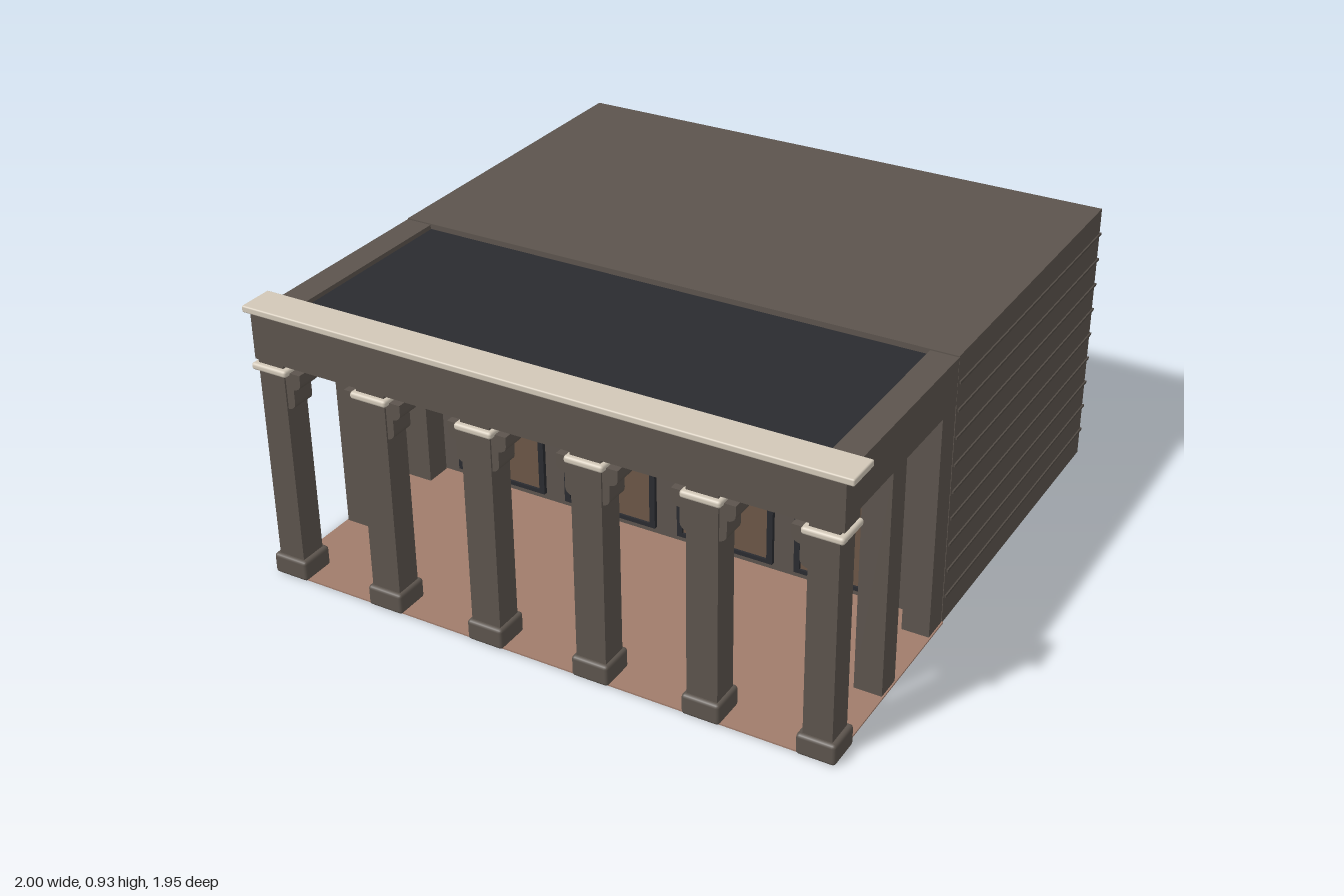
import * as THREE from 'three';
import { RoundedBoxGeometry } from 'three/addons/geometries/RoundedBoxGeometry.js';

const paint = (color) => new THREE.MeshStandardMaterial({ color });

export function createModel() {
  const model = new THREE.Group();
  const stone = paint(0x5c544d), siding = paint(0x514a44), cream = paint(0xd2c8b8);
  const dark = paint(0x2a2b30), wood = paint(0x6b5646), tile = paint(0xa07c6b), green = paint(0x333c37);

  const add = (parent, name, geometry, material, x = 0, y = 0, z = 0) => {
    const mesh = new THREE.Mesh(geometry, material);
    mesh.name = name;
    mesh.position.set(x, y, z);
    parent.add(mesh);
    return mesh;
  };
  // Box given by its limits; a bevel rounds the edges
  const block = (parent, name, material, [x0, x1], [y0, y1], [z0, z1], bevel = 0) => {
    const size = [x1 - x0, y1 - y0, z1 - z0];
    const geometry = bevel ? new RoundedBoxGeometry(...size, 2, bevel) : new THREE.BoxGeometry(...size);
    return add(parent, name, geometry, material, (x0 + x1) / 2, (y0 + y1) / 2, (z0 + z1) / 2);
  };

  // Main hall
  block(model, 'hall', stone, [-0.96, 0.96], [0, 0.918], [-0.967, 0.2]);

  // Siding strips on the sides and back
  for (let i = 1; i < 10; i++) {
    const y = [i * 0.092 - 0.004, i * 0.092 + 0.004];
    for (const s of [-1, 1]) {
      block(model, 'sideSiding', siding, s < 0 ? [-0.965, -0.96] : [0.96, 0.965], y, [-0.972, 0.19]);
    }
    block(model, 'backSiding', siding, [-0.965, 0.965], y, [-0.972, -0.967]);
  }

  // Porch floor and roof
  block(model, 'porchFloor', tile, [-0.965, 0.965], [0.001, 0.006], [0.2, 0.965]);
  block(model, 'porchRoof', dark, [-0.875, 0.875], [0.885, 0.9], [0.2, 0.88]);
  block(model, 'frontBeam', stone, [-0.975, 0.975], [0.757, 0.91], [0.868, 0.96]);
  block(model, 'cornice', cream, [-1, 1], [0.908, 0.93], [0.848, 0.968], 0.005);

  // Side beams and posts
  for (const s of [-1, 1]) {
    const x = s < 0 ? [-0.96, -0.87] : [0.87, 0.96];
    block(model, 'sideBeam', stone, x, [0.76, 0.915], [0.202, 0.87]);
    block(model, 'middlePost', stone, x, [0, 0.76], [0.54, 0.628]);
    block(model, 'wallPost', stone, x, [0, 0.76], [0.205, 0.296]);
  }

  // Scrolled bracket, reaching toward +x
  const profile = new THREE.Shape();
  profile.moveTo(0, 0.61);
  profile.lineTo(0.05, 0.61);
  profile.quadraticCurveTo(0.073, 0.615, 0.073, 0.635);
  profile.lineTo(0.073, 0.68);
  profile.quadraticCurveTo(0.1, 0.685, 0.1, 0.705);
  profile.lineTo(0.1, 0.735);
  profile.lineTo(0, 0.735);
  const bracketGeometry = new THREE.ExtrudeGeometry(profile, { depth: 0.08, bevelEnabled: false, curveSegments: 5 });
  bracketGeometry.translate(0, 0, -0.04);

  // Front columns; the corner ones carry a bracket only on the inner side
  const spots = [-0.917, -0.552, -0.184, 0.184, 0.552, 0.917];
  spots.forEach((x, i) => {
    const column = new THREE.Group();
    column.name = 'column';
    column.position.set(x, 0, 0.914);
    model.add(column);
    const w = i === 0 || i === 5 ? 0.046 : 0.05;
    block(column, 'shaft', stone, [-w, w], [0, 0.76], [-0.046, 0.046]);
    block(column, 'base', stone, [-0.062, 0.062], [0, 0.07], [-0.06, 0.06], 0.011);
    block(column, 'capital', cream, [-0.064, 0.064], [0.725, 0.748], [-0.062, 0.062], 0.009);
    for (const s of [-1, 1]) {
      if ((i === 0 && s < 0) || (i === 5 && s > 0)) continue;
      const bracket = add(column, 'bracket', bracketGeometry, stone);
      if (s < 0) bracket.rotation.y = Math.PI;
    }
  });

  // Doors with frames and a sign panel above each
  for (const x of [-0.637, -0.213, 0.213, 0.633]) {
    const door = new THREE.Group();
    door.name = 'doorway';
    door.position.set(x, 0, 0.2);
    model.add(door);
    block(door, 'panel', wood, [-0.155, 0.155], [0.04, 0.485], [0, 0.006]);
    for (const s of [-1, 1]) {
      block(door, 'jamb', dark, s < 0 ? [-0.172, -0.152] : [0.152, 0.172], [0.03, 0.5], [0, 0.014]);
    }
    block(door, 'lintel', dark, [-0.152, 0.152], [0.48, 0.5], [0, 0.014]);
    block(door, 'sill', dark, [-0.152, 0.152], [0.03, 0.044], [0, 0.014]);
    block(door, 'signPanel', green, [-0.138, 0.138], [0.523, 0.576], [0, 0.012]);
  }

  return model;
}
